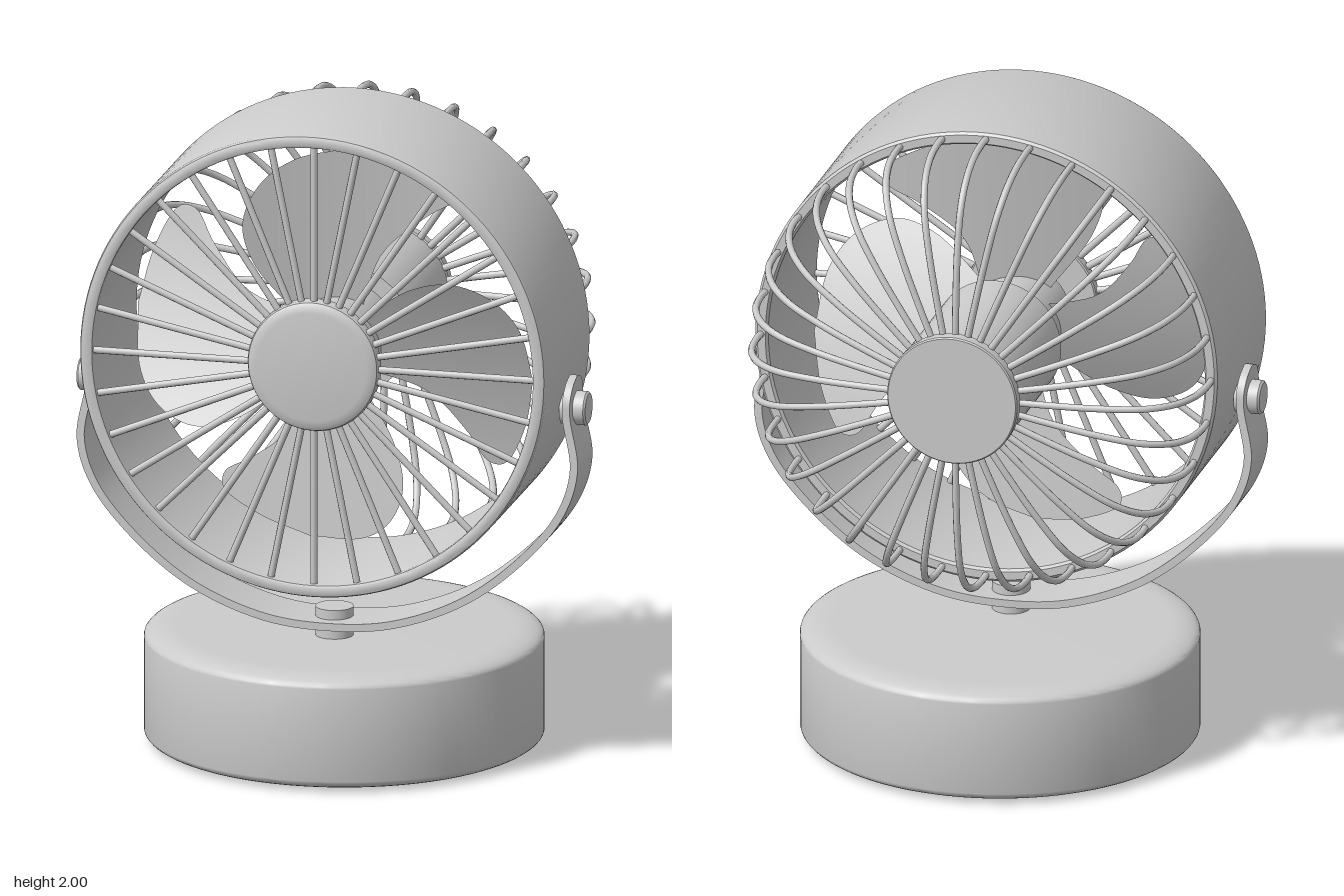
import * as THREE from 'three';
import { toCreasedNormals } from 'three/addons/utils/BufferGeometryUtils.js';

const CENTRE_Y = 1.275;
const YOKE_Z = 0.12;
const WIRES = 32;

const grey = new THREE.MeshStandardMaterial({ color: 0xcccccc });
const greyThin = new THREE.MeshStandardMaterial({ color: 0xcccccc, side: THREE.DoubleSide });

const v2 = (pts) => pts.map(([x, y]) => new THREE.Vector2(x, y));
const v3 = (pts) => pts.map(([x, y, z = 0]) => new THREE.Vector3(x, y, z));

function add(parent, name, geometry, material = grey) {
  const mesh = new THREE.Mesh(geometry, material);
  mesh.name = name;
  parent.add(mesh);
  return mesh;
}

// Turned part; profile runs counter-clockwise as (radius, height)
function turned(profile, segments = 96) {
  return toCreasedNormals(new THREE.LatheGeometry(v2(profile), segments), 0.6);
}

// Turned part whose axis points along z
const turnedZ = (profile, segments) => turned(profile, segments).rotateX(Math.PI / 2);

// Rounded disc base with soft elliptical edges
function baseGeometry() {
  const pts = [[0, 0]];
  const steps = 8;
  for (let i = 0; i <= steps; i++) {
    const a = (i / steps) * Math.PI / 2;
    pts.push([0.505 + 0.1 * Math.sin(a), 0.035 - 0.035 * Math.cos(a)]);
  }
  for (let i = 0; i <= steps; i++) {
    const a = (i / steps) * Math.PI / 2;
    pts.push([0.505 + 0.1 * Math.cos(a), 0.325 + 0.035 * Math.sin(a)]);
  }
  pts.push([0, 0.36]);
  return turned(pts);
}

// Flat strap bent along a curve, with rounded ends around the pivots
function yokeGeometry() {
  const half = [[0.745, 1.225], [0.742, 1.12], [0.768, 0.95], [0.725, 0.81], [0.6, 0.655], [0.42, 0.515], [0.2, 0.428]];
  const left = half.map(([x, y]) => [-x, y]);
  const curve = new THREE.CatmullRomCurve3(v3([...left, [0, 0.408], ...half.reverse()]));
  const geo = new THREE.BoxGeometry(1, 1, 1, 200, 1, 1);
  const pos = geo.attributes.position;
  for (let i = 0; i < pos.count; i++) {
    const t = THREE.MathUtils.clamp(pos.getX(i) + 0.5, 0, 1);
    const p = curve.getPointAt(t);
    const d = curve.getTangentAt(t);
    const halfWidth = p.y > 1.14
      ? Math.sqrt(Math.max(0.085 ** 2 - (p.y - 1.14) ** 2, 0.0001))
      : 0.085 + 0.01 * THREE.MathUtils.smoothstep(1.14 - p.y, 0, 0.3);
    const off = pos.getY(i) * 0.024;
    pos.setXYZ(i, p.x - d.y * off, p.y + d.x * off, YOKE_Z + pos.getZ(i) * 2 * halfWidth);
  }
  return toCreasedNormals(geo, 0.6);
}

// Pitched blade: a grid stretched between its leading and trailing edges
function bladeGeometry() {
  const lead = new THREE.CatmullRomCurve3(v3([[-0.1, 0.1], [-0.22, 0.27], [-0.25, 0.4], [-0.2, 0.52], [-0.1, 0.59], [0.08, 0.615]]));
  const trail = new THREE.CatmullRomCurve3(v3([[0.08, 0.1], [0.14, 0.28], [0.27, 0.395], [0.365, 0.455], [0.37, 0.505], [0.25, 0.575], [0.08, 0.615]]));
  const geo = new THREE.PlaneGeometry(1, 1, 14, 32);
  const pos = geo.attributes.position;
  for (let i = 0; i < pos.count; i++) {
    const t = pos.getY(i) + 0.5;
    const p = lead.getPoint(t).lerp(trail.getPoint(t), pos.getX(i) + 0.5);
    pos.setXYZ(i, p.x, p.y, 0.14 - 0.42 * p.x + 0.3 * p.x * p.x);
  }
  geo.computeVertexNormals();
  return geo;
}

export function createModel() {
  const model = new THREE.Group();
  model.name = 'deskFan';

  // Stand
  const stand = new THREE.Group();
  stand.name = 'stand';
  model.add(stand);
  add(stand, 'base', baseGeometry());
  add(stand, 'post', new THREE.CylinderGeometry(0.058, 0.058, 0.11, 32)).position.set(0, 0.395, YOKE_Z);
  add(stand, 'yoke', yokeGeometry());
  for (const side of [-1, 1]) {
    const bolt = add(stand, 'pivotBolt', turned([[0, -0.04], [0.052, -0.04], [0.052, 0.034], [0.046, 0.04], [0, 0.04]], 32));
    bolt.rotation.z = -side * Math.PI / 2;
    bolt.position.set(side * 0.752, 1.125, YOKE_Z);
  }

  // Fan head, built around its own axis
  const head = new THREE.Group();
  head.name = 'fanHead';
  head.position.y = CENTRE_Y;
  model.add(head);

  add(head, 'housing', turnedZ([
    [0.685, -0.15], [0.692, -0.16], [0.717, -0.16], [0.725, -0.152], [0.725, 0.383], [0.721, 0.392],
    [0.712, 0.396], [0.695, 0.396], [0.687, 0.392], [0.685, 0.383], [0.685, -0.15],
  ], 128));
  add(head, 'frontCap', turnedZ([
    [0, 0.345], [0.2, 0.345], [0.204, 0.35], [0.204, 0.38], [0.2, 0.39], [0.188, 0.397], [0.17, 0.4], [0, 0.4],
  ], 64));
  add(head, 'motor', turnedZ([
    [0, -0.535], [0.2, -0.535], [0.204, -0.53], [0.204, -0.495], [0.2, -0.49], [0.2, -0.03], [0, -0.03],
  ], 64));

  // Rotor
  const rotor = new THREE.Group();
  rotor.name = 'rotor';
  head.add(rotor);
  add(rotor, 'rotorHub', turnedZ([[0, -0.03], [0.15, -0.03], [0.15, 0.25], [0.13, 0.27], [0, 0.27]], 48));
  const blade = bladeGeometry();
  for (let i = 0; i < 4; i++) {
    add(rotor, 'blade', blade, greyThin).rotation.z = i * Math.PI / 2;
  }

  // Grilles
  const frontSpoke = new THREE.CylinderGeometry(0.011, 0.011, 0.51, 8).translate(0, 0.44, 0.372);
  const rearPath = new THREE.CatmullRomCurve3(v3([
    [0, 0.705, -0.14], [0, 0.708, -0.2], [0, 0.695, -0.3], [0, 0.655, -0.38],
    [0, 0.58, -0.44], [0, 0.45, -0.475], [0, 0.3, -0.49], [0, 0.18, -0.495],
  ]));
  const rearWire = new THREE.TubeGeometry(rearPath, 28, 0.011, 8);
  for (let i = 0; i < WIRES; i++) {
    const angle = (i / WIRES) * Math.PI * 2;
    add(head, 'frontSpoke', frontSpoke).rotation.z = angle;
    add(head, 'rearWire', rearWire).rotation.z = angle;
  }
  return model;
}
